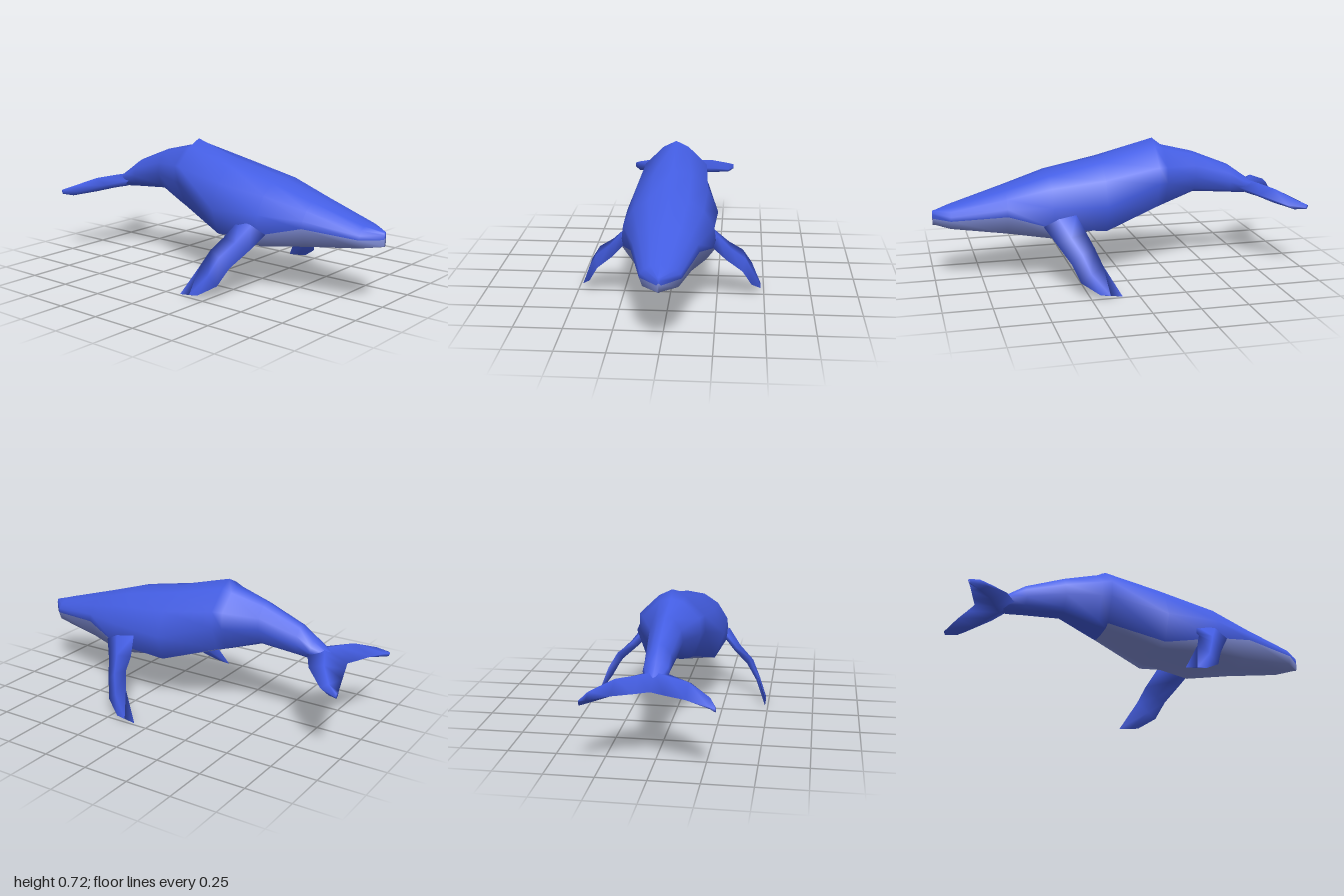
import * as THREE from 'three';

const skin = new THREE.MeshStandardMaterial({ color: 0x445ee4 });
skin.name = 'blue skin';
const pale = new THREE.MeshStandardMaterial({ color: 0x8694e0 });
pale.name = 'pale belly';

// Skin a list of closed rings with smooth normals; isPale(i, k) picks the second material for a quad.
function loft(rings, { flip = false, isPale = () => false } = {}) {
  const n = rings[0].length;
  const pos = rings.flat(2);
  const faces = [[], []];
  const tri = (m, a, b, c) => faces[m].push(...(flip ? [a, c, b] : [a, b, c]));
  for (let i = 0; i < rings.length - 1; i++) {
    for (let k = 0; k < n; k++) {
      const a = i * n + k, b = i * n + (k + 1) % n, m = isPale(i, k) ? 1 : 0;
      tri(m, a, a + n, b);
      tri(m, b, a + n, b + n);
    }
  }
  // End caps
  [0, rings.length - 1].forEach((r) => {
    const centre = pos.length / 3;
    pos.push(...[0, 1, 2].map((j) => rings[r].reduce((s, p) => s + p[j], 0) / n));
    for (let k = 0; k < n; k++) {
      const a = r * n + k, b = r * n + (k + 1) % n, m = isPale(r, k) ? 1 : 0;
      if (r === 0) tri(m, a, b, centre);
      else tri(m, b, a, centre);
    }
  });
  const g = new THREE.BufferGeometry();
  g.setAttribute('position', new THREE.Float32BufferAttribute(pos, 3));
  g.setIndex([...faces[0], ...faces[1]]);
  g.addGroup(0, faces[0].length, 0);
  if (faces[1].length) g.addGroup(faces[0].length, faces[1].length, 1);
  g.computeVertexNormals();
  return g;
}

function part(name, geometry) {
  const mesh = new THREE.Mesh(geometry, [skin, pale]);
  mesh.name = name;
  return mesh;
}

// Diamond section of a fin: leading edge, upper ridge, trailing edge, lower ridge
function finRing(lead, trail, nx, ny) {
  const mid = lead.map((v, i) => v * 0.55 + trail[i] * 0.45);
  return [
    lead,
    [mid[0] + nx, mid[1] + ny, mid[2]],
    trail,
    [mid[0] - nx, mid[1] - ny, mid[2]],
  ];
}

function makeBody() {
  // z, top y, then x y of shoulder, upper flank, flank, jaw line, belly edge, then bottom y
  const stations = [
    [1.0, 0.388, 0.005, 0.385, 0.007, 0.378, 0.009, 0.37, 0.01, 0.347, 0.006, 0.315, 0.31],
    [0.91, 0.415, 0.045, 0.408, 0.075, 0.392, 0.095, 0.37, 0.1, 0.348, 0.085, 0.305, 0.3],
    [0.62, 0.505, 0.075, 0.492, 0.13, 0.455, 0.162, 0.41, 0.17, 0.372, 0.13, 0.272, 0.265],
    [0.39, 0.577, 0.1, 0.562, 0.18, 0.51, 0.235, 0.42, 0.247, 0.314, 0.195, 0.247, 0.236],
    [0.1, 0.635, 0.1, 0.62, 0.19, 0.54, 0.246, 0.41, 0.195, 0.267, 0.12, 0.261, 0.26],
    [-0.2, 0.724, 0.07, 0.69, 0.172, 0.59, 0.175, 0.5, 0.115, 0.362, 0.075, 0.348, 0.345],
    [-0.25, 0.685, 0.06, 0.672, 0.15, 0.585, 0.158, 0.5, 0.105, 0.378, 0.065, 0.362, 0.36],
    [-0.43, 0.64, 0.04, 0.625, 0.08, 0.57, 0.09, 0.51, 0.065, 0.44, 0.04, 0.42, 0.415],
    [-0.64, 0.555, 0.03, 0.545, 0.06, 0.51, 0.07, 0.465, 0.055, 0.42, 0.03, 0.4, 0.395],
    [-0.72, 0.498, 0.028, 0.49, 0.058, 0.465, 0.066, 0.44, 0.05, 0.41, 0.03, 0.392, 0.388],
    [-0.82, 0.43, 0.015, 0.428, 0.03, 0.425, 0.035, 0.415, 0.03, 0.405, 0.02, 0.395, 0.392],
  ];
  const rings = stations.map(([z, top, ...s]) => {
    const bottom = s.pop();
    const side = [0, 2, 4, 6, 8].map((i) => [s[i], s[i + 1], z]);
    return [
      [0, top, z],
      ...side.map(([x, y]) => [-x, y, z]),
      [0, bottom, z],
      ...side.reverse(),
    ];
  });
  // Pale underside from the chin to below the dorsal peak
  return part('body', loft(rings, { isPale: (i, k) => i < 5 && k >= 4 && k <= 7 }));
}

function makeFlipper(side) {
  // leading edge, trailing edge, half thickness
  const sections = [
    [[0.235, 0.325, 0.445], [0.225, 0.375, 0.27], 0.03],
    [[0.298, 0.245, 0.39], [0.308, 0.29, 0.23], 0.024],
    [[0.383, 0.16, 0.33], [0.383, 0.238, 0.208], 0.022],
    [[0.433, 0.07, 0.29], [0.432, 0.155, 0.175], 0.014],
    [[0.483, 0.015, 0.2], [0.484, 0, 0.085], 0.002],
  ];
  const rings = sections.map(([lead, trail, t]) =>
    finRing(lead, trail, t * 0.75, t * 0.65).map(([x, y, z]) => [side * x, y, z]));
  return part(side > 0 ? 'leftFlipper' : 'rightFlipper', loft(rings, { flip: side < 0 }));
}

function makeFlukes() {
  // x, leading z y, trailing z y, half thickness
  const half = [
    [0, -0.66, 0.43, -0.9, 0.4, 0.038],
    [0.07, -0.71, 0.425, -0.922, 0.395, 0.038],
    [0.175, -0.77, 0.41, -0.955, 0.39, 0.04],
    [0.285, -0.89, 0.37, -0.988, 0.375, 0.028],
    [0.317, -0.985, 0.358, -1, 0.37, 0.013],
  ];
  const mirrored = half.slice(1).reverse().map(([x, ...r]) => [-x, ...r]);
  const rings = [...mirrored, ...half].map(([x, lz, ly, tz, ty, t]) =>
    finRing([x, ly, lz], [x, ty, tz], 0, t));
  return part('tailFlukes', loft(rings));
}

export function createModel() {
  const whale = new THREE.Group();
  whale.name = 'whale';
  whale.add(makeBody(), makeFlipper(1), makeFlipper(-1), makeFlukes());
  return whale;
}
